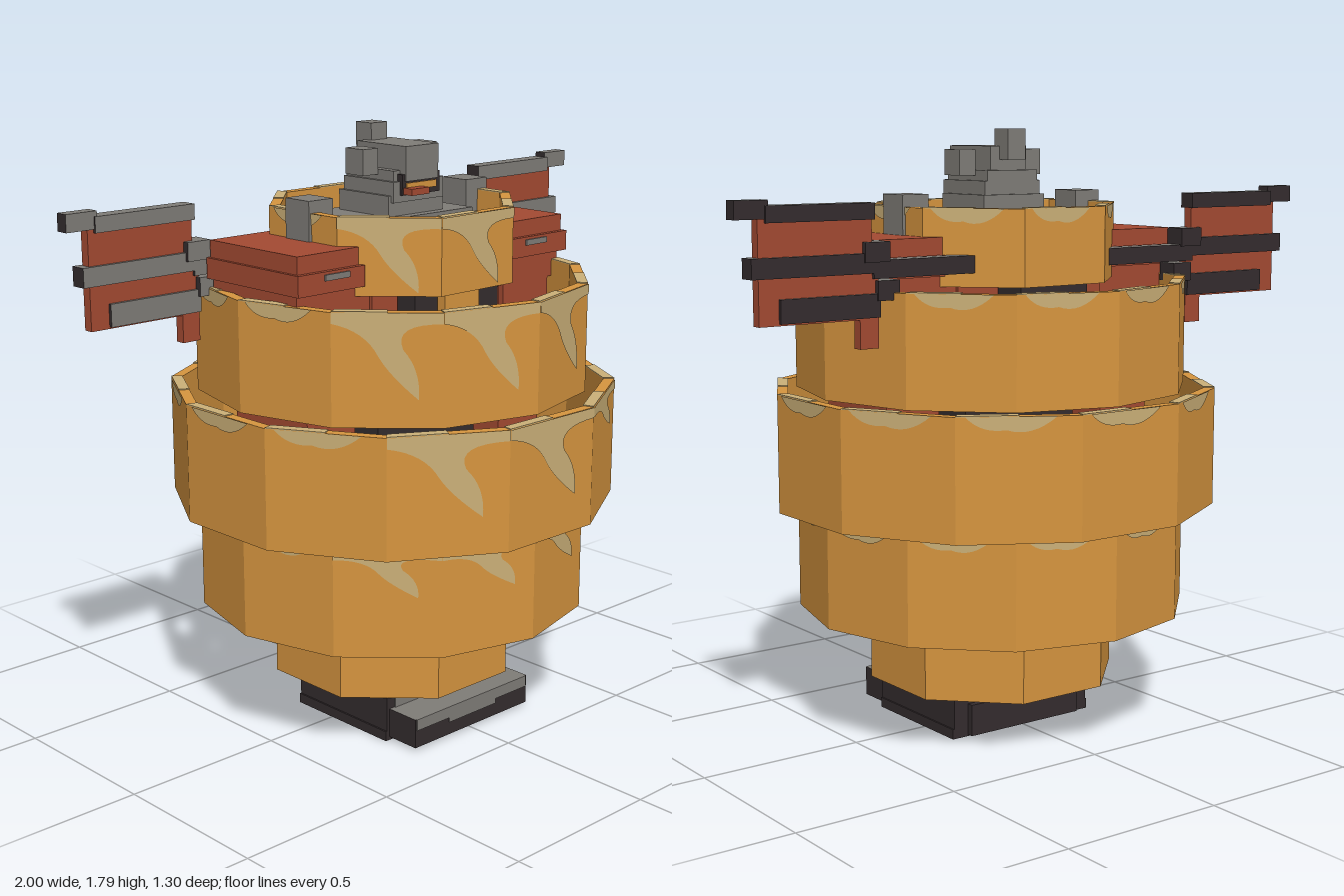
import * as THREE from 'three';

const mat = (name, color) => {
  const m = new THREE.MeshStandardMaterial({ color });
  m.name = name;
  return m;
};

export function createModel() {
  const root = new THREE.Group();
  root.name = 'ringedRobot';
  const orange = mat('orange', 0xd6953f);
  const tan = mat('tan', 0xcbb078);
  const red = mat('rustRed', 0xa34a32);
  const grey = mat('grey', 0x7f7c77);
  const dark = mat('charcoal', 0x342c2e);
  // Charcoal slab with grey paint on its top and front
  const painted = [dark, dark, grey, dark, grey, dark];
  const topPainted = [dark, dark, grey, dark, dark, dark];

  // Box given by its limits on each axis
  function box(parent, name, m, x0, x1, y0, y1, z0, z1) {
    const mesh = new THREE.Mesh(new THREE.BoxGeometry(x1 - x0, y1 - y0, z1 - z0), m);
    mesh.position.set((x0 + x1) / 2, (y0 + y1) / 2, (z0 + z1) / 2);
    mesh.name = name;
    parent.add(mesh);
    return mesh;
  }
  // The same box on both sides
  function pair(parent, name, m, x0, x1, ...rest) {
    box(parent, name + 'Left', m, x0, x1, ...rest);
    box(parent, name + 'Right', m, -x1, -x0, ...rest);
  }

  // Curved camouflage flame hanging from the top edge of a panel
  function flame(w, d) {
    const s = new THREE.Shape();
    s.moveTo(-w / 2, 0);
    s.lineTo(-w / 2, -0.03);
    s.quadraticCurveTo(-0.2 * w, -0.2 * d, -0.08 * w, -0.5 * d);
    s.quadraticCurveTo(0.02 * w, -0.72 * d, 0.28 * w, -d);
    s.quadraticCurveTo(0.3 * w, -0.65 * d, 0.14 * w, -0.42 * d);
    s.quadraticCurveTo(0.04 * w, -0.12 * d, w / 2, -0.03);
    s.lineTo(w / 2, 0);
    return s;
  }
  // Shallow camouflage scallop
  function scallop(w, d) {
    const s = new THREE.Shape();
    s.moveTo(-0.42 * w, 0);
    s.quadraticCurveTo(-0.3 * w, -d, -0.1 * w, -0.8 * d);
    s.quadraticCurveTo(0.1 * w, -1.3 * d, 0.3 * w, 0);
    return s;
  }

  // Faceted hollow armour ring; turn is the angle of its first facet
  function ring(name, n, r, turn, y0, y1, depth) {
    const g = new THREE.Group();
    g.name = name;
    const step = (2 * Math.PI) / n, inner = r - 0.033;
    const at = (a, rad) => new THREE.Vector2(Math.sin(a) * rad, -Math.cos(a) * rad);
    const loop = rad => Array.from({ length: n }, (_, k) => at(turn + (k + 0.5) * step, rad));
    const slab = (shape, h, y, m, label) => {
      const geo = new THREE.ExtrudeGeometry(shape, { depth: h, bevelEnabled: false });
      geo.rotateX(-Math.PI / 2);
      const mesh = new THREE.Mesh(geo, m);
      mesh.position.y = y;
      mesh.name = label;
      g.add(mesh);
    };
    const outline = new THREE.Shape(loop(r));
    outline.holes.push(new THREE.Path(loop(inner)));
    slab(outline, y1 - y0, y0, orange, 'ringWall');
    if (depth > 0) {
      const w = 2 * r * Math.sin(step / 2), apothem = r * Math.cos(step / 2);
      for (let k = 0; k < n; k++) {
        const a = turn + k * step;
        const front = Math.cos(a) > 0.6;
        const d = Math.sin(a) > 0.4 ? depth * 0.5 : depth;
        const geo = new THREE.ShapeGeometry(front ? flame(w, d) : scallop(w, 0.045), 8);
        const patch = new THREE.Mesh(geo, tan);
        patch.position.set(Math.sin(a) * (apothem + 0.003), y1, Math.cos(a) * (apothem + 0.003));
        patch.rotation.y = a;
        patch.name = 'camouflagePatch';
        g.add(patch);
        // Tan stretch on the rim
        const p = at(a - step / 2, r), q = at(a + step / 2, r);
        const p2 = at(a - step / 2, inner), q2 = at(a + step / 2, inner);
        const rim = new THREE.Shape([p, p.clone().lerp(q, 0.5), p2.clone().lerp(q2, 0.5), p2]);
        slab(rim, 0.003, y1, tan, 'rimPatch');
      }
    }
    root.add(g);
  }
  const d12 = Math.PI / 12;
  ring('middleRing', 12, 0.668, 0, 0.68, 1.03, 0.24);
  ring('upperRing', 12, 0.588, d12, 1.03, 1.35, 0.24);
  ring('lowerRing', 12, 0.588, d12, 0.36, 0.68, 0.14);
  ring('neckRing', 8, 0.379, 0, 1.35, 1.57, 0.21);
  ring('ankleRing', 8, 0.379, 0, 0.14, 0.36, 0);

  // Feet and legs
  const legs = new THREE.Group();
  legs.name = 'legs';
  root.add(legs);
  pair(legs, 'foot', dark, 0.003, 0.25, 0.01, 0.14, -0.15, 0.24);
  box(legs, 'heel', dark, -0.2, 0.2, 0.005, 0.1, -0.17, -0.1);
  box(legs, 'sole', dark, -0.255, 0.255, 0, 0.03, -0.15, 0.24);
  box(legs, 'toe', topPainted, -0.24, 0.24, 0.01, 0.1, 0.24, 0.35);
  box(legs, 'toePaint', grey, -0.235, 0.235, 0.065, 0.1, 0.347, 0.353);
  box(legs, 'toePaintCentre', grey, -0.1, 0.1, 0.05, 0.066, 0.347, 0.353);
  pair(legs, 'instepPaint', grey, 0.05, 0.22, 0.1, 0.13, 0.238, 0.244);
  pair(legs, 'shin', dark, 0.02, 0.22, 0.14, 0.5, -0.14, 0.17);
  pair(legs, 'thigh', dark, 0.03, 0.22, 0.5, 0.85, -0.13, 0.14);

  // Torso
  const torso = new THREE.Group();
  torso.name = 'torso';
  root.add(torso);
  box(torso, 'waist', dark, -0.2, 0.2, 0.8, 1.0, -0.14, 0.15);
  box(torso, 'chest', red, -0.26, 0.26, 1.0, 1.46, -0.19, 0.19);
  box(torso, 'chestPlate', red, -0.16, 0.16, 1.05, 1.45, 0.19, 0.26);
  box(torso, 'chestBadge', orange, -0.07, 0.07, 1.2, 1.44, 0.26, 0.29);
  pair(torso, 'chestVent', dark, 0.08, 0.17, 1.1, 1.42, 0.2, 0.27);
  box(torso, 'collar', grey, -0.205, 0.205, 1.46, 1.54, -0.14, 0.13);
  box(torso, 'collarStep', grey, -0.11, 0.11, 1.54, 1.6, -0.11, 0.1);
  pair(torso, 'shoulderPost', grey, 0.27, 0.36, 1.46, 1.605, -0.06, 0.04);
  box(torso, 'backpack', painted, -0.12, 0.12, 1.1, 1.5, -0.3, -0.19);

  // Head
  const head = new THREE.Group();
  head.name = 'head';
  root.add(head);
  box(head, 'jaw', grey, -0.1, 0.1, 1.58, 1.64, -0.1, 0.11);
  box(head, 'face', dark, -0.075, 0.075, 1.6, 1.66, 0.06, 0.12);
  box(head, 'visor', orange, -0.06, 0.06, 1.615, 1.635, 0.118, 0.124);
  box(head, 'snout', red, -0.07, 0, 1.603, 1.622, 0.12, 0.155);
  box(head, 'helmet', grey, -0.065, 0.065, 1.64, 1.74, -0.08, 0.125);
  box(head, 'brow', grey, -0.09, 0.09, 1.64, 1.67, -0.1, 0.1);
  box(head, 'crest', grey, -0.032, 0.032, 1.7, 1.79, -0.12, -0.055);
  pair(head, 'ear', grey, 0.09, 0.148, 1.655, 1.73, -0.04, 0.035);

  // Arms, mostly enclosed by the rings
  const arms = new THREE.Group();
  arms.name = 'arms';
  root.add(arms);
  pair(arms, 'shoulder', red, 0.26, 0.53, 1.3, 1.46, -0.18, 0.18);
  pair(arms, 'shoulderCap', red, 0.31, 0.535, 1.44, 1.49, -0.185, 0.19);
  pair(arms, 'shoulderBand', red, 0.3, 0.545, 1.38, 1.44, -0.19, 0.205);
  pair(arms, 'shoulderChip', grey, 0.36, 0.45, 1.415, 1.432, 0.2, 0.21);
  pair(arms, 'upperArm', red, 0.29, 0.49, 1.08, 1.3, -0.16, 0.18);
  pair(arms, 'forearm', red, 0.3, 0.48, 0.78, 1.08, -0.15, 0.16);
  pair(arms, 'hand', dark, 0.31, 0.49, 0.5, 0.78, -0.14, 0.14);

  // Back wings of red panels and painted slats
  const wings = new THREE.Group();
  wings.name = 'wings';
  root.add(wings);
  pair(wings, 'wingPanel', red, 0.58, 0.93, 1.28, 1.57, -0.24, -0.21);
  pair(wings, 'wingRoot', red, 0.56, 0.62, 1.2, 1.4, -0.24, -0.21);
  pair(wings, 'wingTopSlat', painted, 0.575, 0.91, 1.55, 1.595, -0.25, -0.2);
  pair(wings, 'wingTip', painted, 0.9, 1.0, 1.56, 1.61, -0.245, -0.205);
  pair(wings, 'wingMiddleSlat', painted, 0.56, 0.955, 1.405, 1.46, -0.25, -0.2);
  pair(wings, 'wingLowerSlat', painted, 0.56, 0.87, 1.285, 1.35, -0.25, -0.2);
  pair(wings, 'wingHinge', painted, 0.53, 0.61, 1.435, 1.49, -0.255, -0.19);
  pair(wings, 'wingLowerHinge', painted, 0.5, 0.57, 1.33, 1.385, -0.255, -0.19);
  pair(wings, 'wingStrut', painted, 0.12, 0.58, 1.39, 1.44, -0.25, -0.2);

  return root;
}
